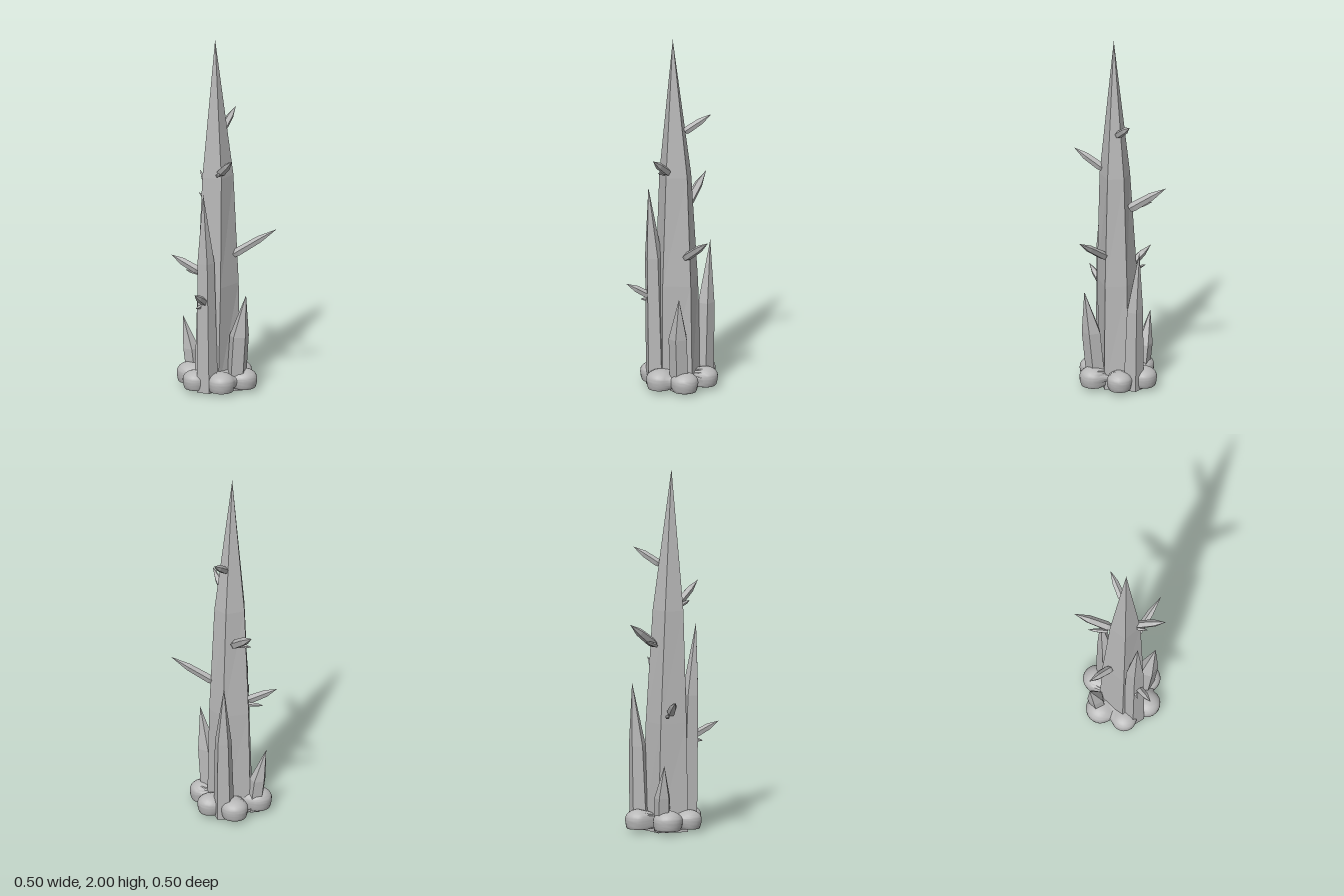
import * as THREE from 'three';
import { mergeVertices, toCreasedNormals } from 'three/addons/utils/BufferGeometryUtils.js';

const V = (x, y, z) => new THREE.Vector3(x, y, z);

// Closed faceted crystal: stacked rings of equal corner count, then a pointed tip
function crystalGeometry(rings, tip) {
  const n = rings[0].length, pos = [];
  const tri = (a, b, c) => pos.push(...a.toArray(), ...b.toArray(), ...c.toArray());
  const mid = rings[0].reduce((s, p) => s.add(p), V(0, 0, 0)).divideScalar(n);
  for (let i = 0; i < n; i++) {
    const j = (i + 1) % n;
    tri(mid, rings[0][j], rings[0][i]);
    for (let k = 0; k + 1 < rings.length; k++) {
      const a = rings[k], b = rings[k + 1];
      tri(a[i], a[j], b[j]);
      tri(a[i], b[j], b[i]);
    }
    tri(rings[rings.length - 1][i], rings[rings.length - 1][j], tip);
  }
  const g = new THREE.BufferGeometry();
  g.setAttribute('position', new THREE.Float32BufferAttribute(pos, 3));
  g.computeVertexNormals();
  return g;
}

// Horizontal ring of corners, running anticlockwise seen from above
const ring = (cx, y, cz, r, turn, n = 5) => Array.from({ length: n }, (_, i) => {
  const a = turn + i / n * Math.PI * 2;
  return V(cx + r * Math.cos(a), y, cz - r * Math.sin(a));
});

// Slim spike from a base point to a tip
function spikeGeometry(base, tip, r) {
  const d = tip.clone().sub(base), dir = d.clone().normalize();
  const u = V(0, 1, 0).cross(dir).normalize(), w = dir.clone().cross(u);
  const loop = (t, s) => Array.from({ length: 5 }, (_, i) => {
    const a = i / 5 * Math.PI * 2 + 0.3;
    return base.clone().addScaledVector(d, t)
      .addScaledVector(u, s * Math.cos(a)).addScaledVector(w, s * Math.sin(a));
  });
  return crystalGeometry([loop(0, r * 0.8), loop(0.1, r), loop(0.6, r * 0.85)], tip);
}

// Smoothly blended lobes around a flat-bottomed mound
function moundGeometry() {
  const lobes = [
    [-0.075, -0.115, 0.08], [0.1, -0.125, 0.075], [0.16, 0.01, 0.07],
    [0.085, 0.15, 0.075], [-0.06, 0.14, 0.075], [-0.14, 0.01, 0.07], [0, 0.01, 0.11],
  ];
  const cy = 0.072, floor = 0.02;
  const field = (x, y, z) => {
    const dy = y * (y > 0 ? 1.4 : 0.7);
    return lobes.reduce((s, [lx, lz, r]) =>
      s + Math.exp(-5 * (((x - lx) ** 2 + (z - lz) ** 2 + dy * dy) / (r * r) - 1)), 0);
  };
  let g = new THREE.SphereGeometry(1, 72, 48);
  g.deleteAttribute('uv');
  g.deleteAttribute('normal');
  const p = g.attributes.position, v = V(0, 0, 0);
  for (let i = 0; i < p.count; i++) {
    v.fromBufferAttribute(p, i);
    v.y *= 0.5;
    v.normalize();
    let t = 0.32;
    while (t > 0.02 && field(v.x * t, v.y * t, v.z * t) < 1) t -= 0.001;
    p.setXYZ(i, v.x * t, Math.max(floor, cy + v.y * t), v.z * t);
  }
  g = mergeVertices(g, 1e-5);
  return toCreasedNormals(g, 0.8);
}

export function createModel() {
  const model = new THREE.Group();
  const stone = new THREE.MeshStandardMaterial({ color: 0xb8b8b8 });
  stone.name = 'grey stone';
  const add = (name, geometry) => {
    const m = new THREE.Mesh(geometry, stone);
    m.name = name;
    model.add(m);
  };

  // Rounded base
  add('base', moundGeometry());

  // Tall central crystal
  const foot = [[0.11, 0.09], [0.125, -0.04], [-0.02, -0.12], [-0.14, 0.0], [-0.055, 0.105]];
  const belly = [[0.1, 0.085], [0.105, -0.035], [-0.025, -0.1], [-0.125, 0.01], [-0.05, 0.12]];
  const shoulder = [[0.075, 0.07], [0.07, -0.02], [-0.03, -0.06], [-0.1, 0.02], [-0.035, 0.107]];
  const flat = (pts, y) => pts.map(([x, z]) => V(x, y, z));
  add('mainCrystal', crystalGeometry(
    [flat(foot, 0), flat(belly, 0.6), flat(shoulder, 1.22)], V(-0.02, 2, 0.03)));

  // Side crystals: foot x,z,r / shoulder x,y,z,r / tip / turn
  const sides = [
    ['leftSideCrystal', [-0.103, 0.065, 0.062], [-0.118, 0.75, 0.072, 0.05], [-0.143, 1.15, 0.085], 0.5],
    ['rightSideCrystal', [0.125, -0.065, 0.06], [0.137, 0.47, -0.073, 0.048], [0.155, 0.82, -0.1], 0.2],
    ['frontSideCrystal', [0.052, 0.125, 0.055], [0.052, 0.32, 0.155, 0.055], [0.067, 0.56, 0.197], 0.94],
    ['backSideCrystal', [-0.045, -0.12, 0.045], [-0.058, 0.2, -0.14, 0.046], [-0.088, 0.385, -0.175], 0.4],
  ];
  for (const [name, f, s, tip, turn] of sides) {
    add(name, crystalGeometry(
      [ring(f[0], 0.01, f[1], f[2], turn), ring(s[0], s[1], s[2], s[3], turn)], V(...tip)));
  }

  // Spikes growing out of the crystals: base, tip, radius
  const spikes = [
    [[0.045, 1.47, 0.012], [0.178, 1.565, -0.045], 0.022],
    [[-0.03, 1.25, 0.09], [-0.067, 1.36, 0.245], 0.024],
    [[0.042, 1.035, -0.055], [0.085, 1.165, -0.25], 0.027],
    [[0.02, 1.03, -0.07], [0.025, 1.065, -0.18], 0.013],
    [[0.07, 0.765, 0.08], [0.245, 0.915, 0.238], 0.024],
    [[-0.13, 0.525, 0.085], [-0.25, 0.605, 0.15], 0.022],
    [[-0.13, 0.505, 0.07], [-0.19, 0.5, 0.08], 0.012],
    [[-0.065, 0.66, -0.06], [-0.16, 0.74, -0.183], 0.024],
    [[-0.05, 0.64, -0.07], [-0.09, 0.65, -0.15], 0.012],
    [[-0.05, 1.24, 0.09], [-0.07, 1.26, 0.145], 0.011],
  ];
  for (const [base, tip, r] of spikes) add('spike', spikeGeometry(V(...base), V(...tip), r));

  return model;
}
